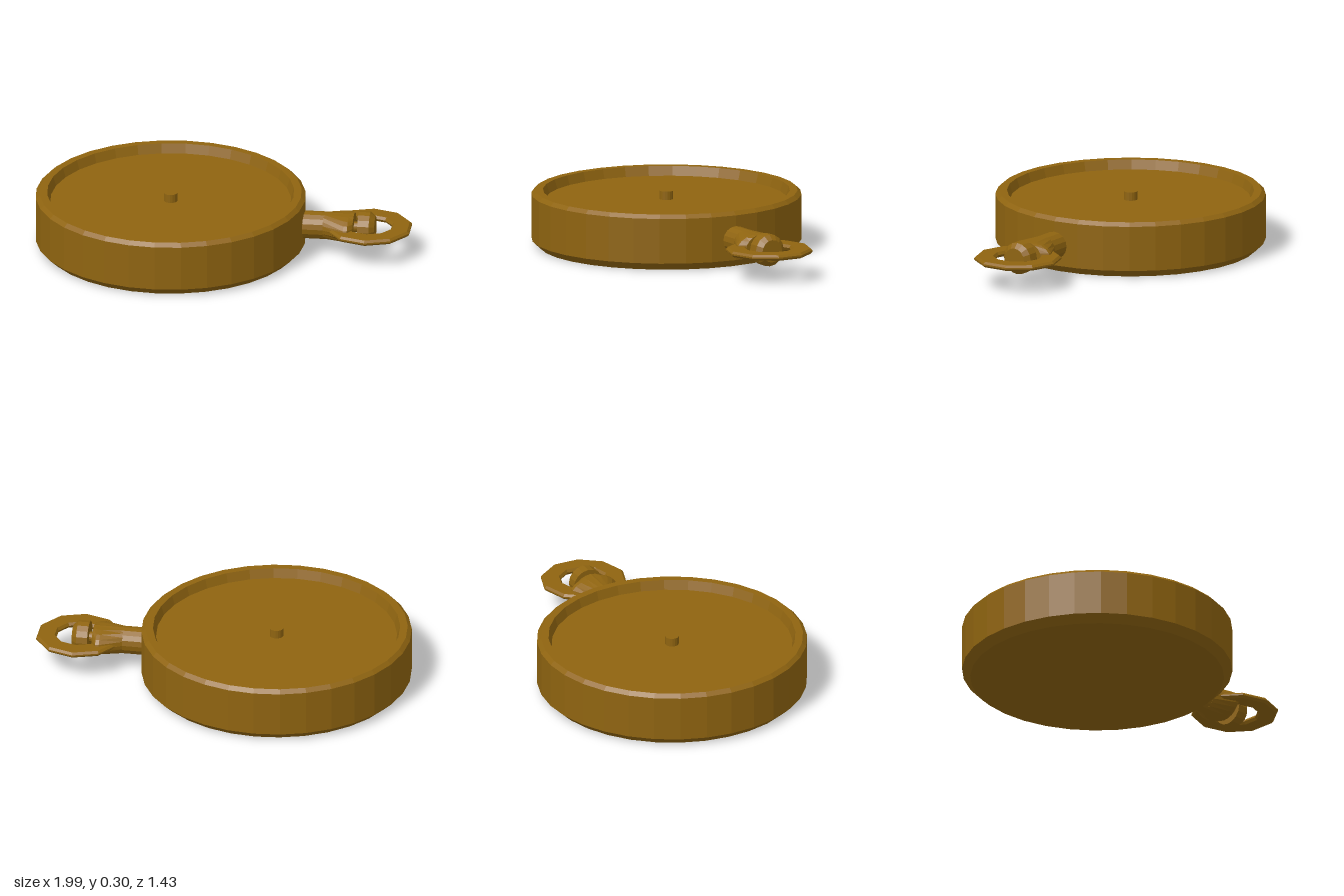
import * as THREE from 'three';

const MID_Y = 0.15;
const CASE_X = -0.285;

export function createModel() {
  const group = new THREE.Group();
  const brass = new THREE.MeshStandardMaterial({ color: 0x8f6410, flatShading: true });

  const add = (name, geometry, x, y) => {
    const mesh = new THREE.Mesh(geometry, brass);
    mesh.name = name;
    mesh.position.set(x, y, 0);
    group.add(mesh);
    return mesh;
  };
  // Turned part from [radius, height] pairs, listed counter-clockwise
  const lathe = (pairs, sides) =>
    new THREE.LatheGeometry(pairs.map(([r, h]) => new THREE.Vector2(r, h)), sides);

  // Round case with bevelled edges and a recessed dial
  add('case', lathe([
    [0, 0], [0.67, 0], [0.713, 0.04], [0.713, 0.28], [0.692, 0.3],
    [0.652, 0.3], [0.636, 0.25], [0, 0.25],
  ], 32), CASE_X, 0);

  // Centre pin that carries the hands
  add('centrePin', new THREE.CylinderGeometry(0.036, 0.036, 0.05, 16), CASE_X, 0.27);

  // Stem tube running into the case
  const tube = new THREE.CylinderGeometry(0.073, 0.073, 0.34, 16).rotateZ(-Math.PI / 2);
  add('stem', tube, 0.52, MID_Y);

  // Lugs: a stem sleeve widened sideways into a thin-edged lens
  const rows = [[0.53, 0.074], [0.645, 0.132], [0.665, 0.132], [0.69, 0.092]];
  const lug = new THREE.CylinderGeometry(1, 1, 1, 20, rows.length - 1).rotateZ(-Math.PI / 2);
  const pos = lug.attributes.position;
  for (let i = 0; i < pos.count; i++) {
    const row = Math.round((pos.getX(i) + 0.5) * (rows.length - 1));
    const [x, width] = rows[row];
    pos.setXYZ(i, x, pos.getY(i) * 0.072, pos.getZ(i) * width);
  }
  lug.computeVertexNormals();
  add('bowLugs', lug, 0, MID_Y);

  // Winding crown on a thin neck
  const crown = lathe([
    [0, 0.67], [0.028, 0.67], [0.028, 0.715], [0.085, 0.715],
    [0.085, 0.775], [0.06, 0.802], [0, 0.802],
  ], 16).rotateZ(-Math.PI / 2);
  add('crown', crown, 0, MID_Y);

  // Flat ten-sided bow ring with bevelled rims
  add('bowRing', lathe([
    [0.122, 0], [0.132, -0.015], [0.218, -0.015], [0.23, -0.004],
    [0.23, 0.004], [0.218, 0.015], [0.132, 0.015], [0.122, 0],
  ], 10), 0.77, MID_Y);

  return group;
}
